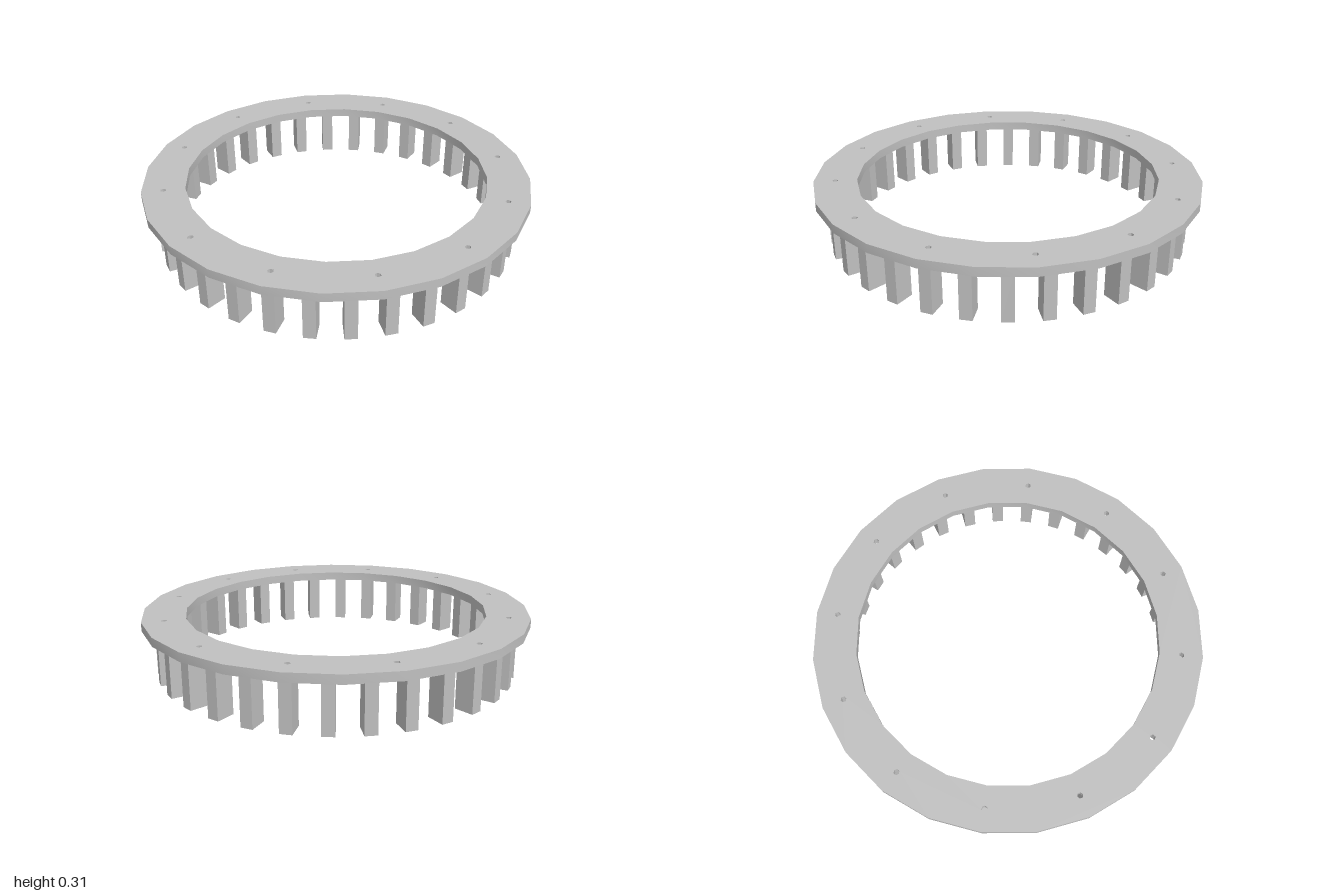
import * as THREE from 'three';
import { toCreasedNormals } from 'three/addons/utils/BufferGeometryUtils.js';

const RING_SIDES = 24, POSTS = 32, HOLES = 12;
const MID = 0.885, RING_Y = 0.263, RING_H = 0.045, POST_H = 0.254;

// Regular polygon outline as points, first corner on the +x axis
function polygon(radius, sides, cx = 0, cy = 0) {
  return Array.from({ length: sides }, (_, i) => {
    const a = (i / sides) * Math.PI * 2;
    return new THREE.Vector2(cx + radius * Math.cos(a), cy + radius * Math.sin(a));
  });
}

export function createModel() {
  const model = new THREE.Group();
  model.name = 'ringOnPosts';
  const grey = new THREE.MeshStandardMaterial({ color: 0xc0c0c0 });
  grey.name = 'grey';

  // Flat ring plate with small bolt holes
  const shape = new THREE.Shape(polygon(1, RING_SIDES));
  shape.holes.push(new THREE.Path(polygon(0.78, RING_SIDES)));
  for (let i = 0; i < HOLES; i++) {
    const a = (i / HOLES) * Math.PI * 2;
    shape.holes.push(new THREE.Path(polygon(0.015, 6, 0.89 * Math.cos(a), 0.89 * Math.sin(a))));
  }
  const plate = new THREE.ExtrudeGeometry(shape, { depth: RING_H, bevelEnabled: false });
  plate.rotateX(-Math.PI / 2);
  const ring = new THREE.Mesh(toCreasedNormals(plate, 0.5), grey);
  ring.name = 'ringPlate';
  ring.position.y = RING_Y;
  model.add(ring);

  // Upright posts, evenly spaced and facing outward, just below the plate
  const posts = new THREE.Group();
  posts.name = 'posts';
  const postGeometry = new THREE.BoxGeometry(0.06, POST_H, 0.1);
  for (let i = 0; i < POSTS; i++) {
    const a = (i / POSTS) * Math.PI * 2;
    const post = new THREE.Mesh(postGeometry, grey);
    post.name = 'post';
    post.position.set(MID * Math.sin(a), POST_H / 2, MID * Math.cos(a));
    post.rotation.y = a;
    posts.add(post);
  }
  model.add(posts);
  return model;
}
